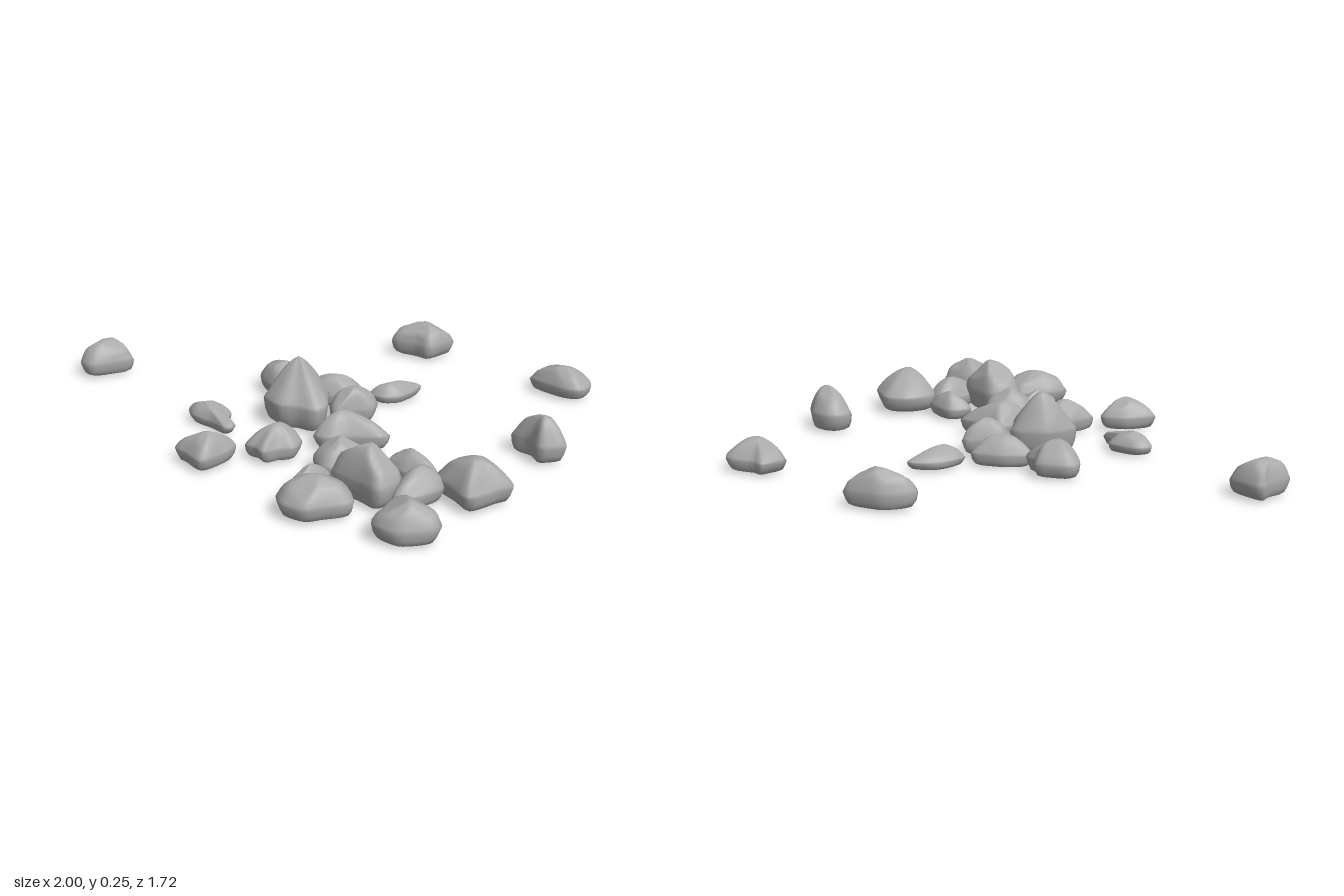
import * as THREE from 'three';

const SIDES = 32;
const stone = new THREE.MeshStandardMaterial({ color: 0xaaaaaa });
stone.name = 'grey stone';

// Small seeded generator
function seeded(seed) {
  let s = seed * 7919 + 17;
  return () => (s = (s * 16807) % 2147483647) / 2147483647;
}

// One boulder, in hundredths of a unit: height, peak [x, z], dome power
// (low = pointed, high = flat-topped) and a clockwise plan outline [x, z, ...]
function boulder(index, height, peak, power, plan) {
  const rand = seeded(index + 3);
  for (let i = 0; i < 5; i++) rand();
  const corners = [];
  for (let i = 0; i < plan.length; i += 2) corners.push(new THREE.Vector3(plan[i] / 100, 0, plan[i + 1] / 100));
  const outline = new THREE.CatmullRomCurve3(corners, true, 'catmullrom', 0.4).getSpacedPoints(SIDES).slice(0, SIDES);
  const centre = outline.reduce((sum, p) => sum.add(p), new THREE.Vector3()).divideScalar(SIDES);
  const top = new THREE.Vector3(peak[0] / 100, 0, peak[1] / 100);
  const h = height / 100;

  // Chiselled planes sloping away from the peak
  const planes = [];
  const turn = rand() * 6.28;
  for (let i = 0; i < 5; i++) {
    const a = turn + i * 1.257 + (rand() - 0.5) * 0.8;
    const dir = new THREE.Vector3(Math.cos(a), 0, Math.sin(a));
    const reach = Math.max(0.03, ...outline.map((p) => p.clone().sub(top).dot(dir)));
    planes.push({ dir, reach, slope: 0.35 + rand() * 0.22, flat: rand() * 0.3 });
  }

  // Rings from the underside, around the widest girth, up to the peak
  const rings = [
    [0.4, 0.0], [0.72, 0.02], [0.85, 0.07], [0.94, 0.2], [1, 0.38],
  ].map(([s, y]) => ({ s, y, pivot: centre }));
  for (const s of [0.96, 0.88, 0.78, 0.66, 0.53, 0.4, 0.26, 0.13]) {
    rings.push({ s, y: 0.4 + 0.6 * (1 - s ** power), pivot: top, crown: true });
  }

  const phase = rand() * 6.28;
  const positions = [];
  rings.forEach(({ s, y, pivot, crown }, j) => {
    outline.forEach((p, i) => {
      const a = (i / SIDES) * Math.PI * 2;
      const wobble = s === 1 ? 1 : 1 + 0.025 * Math.sin(3 * a + phase + j * 0.7);
      const v = p.clone().sub(pivot).multiplyScalar(s * wobble);
      let level = y;
      if (crown) {
        for (const f of planes) {
          level = Math.min(level, 1 - f.slope * Math.max(0, v.dot(f.dir) / f.reach - f.flat));
        }
      }
      v.add(pivot);
      positions.push(v.x, 0.004 + level * (h - 0.004), v.z);
    });
  });

  const index3 = [];
  const last = rings.length - 1;
  for (let j = 0; j < last; j++) {
    for (let i = 0; i < SIDES; i++) {
      const n = (i + 1) % SIDES;
      const a = j * SIDES + i, b = j * SIDES + n;
      index3.push(a, a + SIDES, b, b, a + SIDES, b + SIDES);
    }
  }
  // Close the underside and the peak
  const low = positions.length / 3, high = low + 1;
  positions.push(centre.x, 0, centre.z, top.x, h, top.z);
  for (let i = 0; i < SIDES; i++) {
    const n = (i + 1) % SIDES;
    index3.push(low, i, n, high, last * SIDES + n, last * SIDES + i);
  }

  const geometry = new THREE.BufferGeometry();
  geometry.setAttribute('position', new THREE.Float32BufferAttribute(positions, 3));
  geometry.setIndex(index3);
  geometry.computeVertexNormals();
  return new THREE.Mesh(geometry, stone);
}

export function createModel() {
  const group = new THREE.Group();
  group.name = 'scatteredRocks';
  let count = 0;
  const add = (name, ...shape) => {
    const mesh = boulder(++count, ...shape);
    mesh.name = name;
    group.add(mesh);
  };

  // Outlying rocks
  add('backRock', 14, [21, -81], 4, [8, -79, 13, -84, 19, -87, 32, -86, 31, -81, 26, -73, 19, -75, 10, -76]);
  add('backLeftRock', 12, [83, -59], 2.2, [72, -64, 75, -70, 80, -68, 91, -68, 95, -61, 93, -54, 86, -53, 78, -56, 71, -60]);
  add('farLeftRock', 17, [91, 1], 2.2, [79, -1, 81, -7, 86, -9, 94, -6, 100, 3, 95, 7, 91, 8, 86, 2]);
  add('farRightRock', 13.5, [-92, -17], 3.5, [-100, -13, -96, -20, -95, -26, -88, -24, -81, -19, -86, -12, -93, -6, -99, -8]);

  // Rocks around the tall central one
  add('centralRock', 24.5, [-3, -2], 1.4, [-14, 4, -8, -6, 1, -9, 7, -8, 9, -2, 12, 7, 10, 13, 2, 12, -5, 13, -12, 8]);
  add('lowBackRock', 8, [24, -28], 2, [30, -41, 33, -40, 32, -33, 29, -26, 23, -23, 17, -25, 18, -31, 23, -38]);
  add('backRightRock', 13, [-17, -21], 3, [-26, -29, -14, -31, -11, -26, -6, -23, -7, -19, -16, -13, -25, -19, -28, -25]);
  add('behindCentreRock', 12, [5, -19], 2.2, [-7, -20, 3, -25, 14, -26, 15, -21, 13, -15, 0, -13, -5, -16]);
  add('besideCentreRock', 13.5, [17, -6], 2.8, [9, -8, 16, -12, 24, -14, 25, -6, 19, -2, 13, 2, 9, -3]);
  add('lowRightRock', 8.5, [-33, 15], 2.6, [-41, 13, -36, 9, -25, 11, -23, 18, -18, 22, -20, 26, -28, 22, -37, 19]);
  add('wedgeRock', 14, [21, 16], 2, [13, 24, 15, 13, 19, 7, 24, 9, 38, 13, 37, 17, 24, 22, 20, 25]);
  add('frontCentreRock', 13, [3, 33], 2, [-7, 39, -4, 32, -1, 25, 7, 26, 11, 29, 11, 36, 6, 39, 2, 44, -2, 41]);
  add('frontRightRock', 12.5, [-17, 48], 2.2, [-29, 50, -20, 42, -10, 40, -10, 47, -15, 58, -24, 53]);

  // Front left cluster
  add('clusterRearRock', 14, [29, 38], 2.4, [20, 35, 29, 30, 37, 32, 39, 40, 32, 46, 26, 48, 20, 42]);
  add('clusterSmallRock', 11, [53, 33], 2.2, [44, 32, 50, 27, 58, 30, 64, 36, 62, 40, 52, 39, 45, 35]);
  add('clusterLargeRock', 16.5, [78, 44], 1.9, [64, 37, 70, 29, 79, 27, 85, 32, 91, 40, 87, 45, 83, 51, 79, 55, 71, 48, 65, 43]);
  add('clusterInnerRock', 13, [61, 48], 2, [61, 38, 68, 43, 68, 50, 62, 58, 56, 61, 53, 52, 56, 43]);
  add('clusterTallRock', 20.5, [45, 53], 3.2, [31, 49, 35, 44, 40, 42, 49, 47, 56, 53, 54, 61, 51, 64, 43, 60, 32, 55]);
  add('clusterSliverRock', 10, [24, 55], 2, [28, 47, 29, 53, 25, 61, 20, 63, 19, 59, 23, 51]);
  add('clusterFrontRock', 14, [32, 69], 2.8, [19, 73, 23, 66, 30, 61, 35, 58, 41, 62, 45, 70, 38, 76, 32, 81, 23, 79, 20, 75]);
  add('frontRock', 14.5, [66, 76], 3.2, [55, 76, 57, 68, 64, 67, 75, 71, 76, 79, 66, 85, 59, 84, 55, 81]);

  return group;
}
